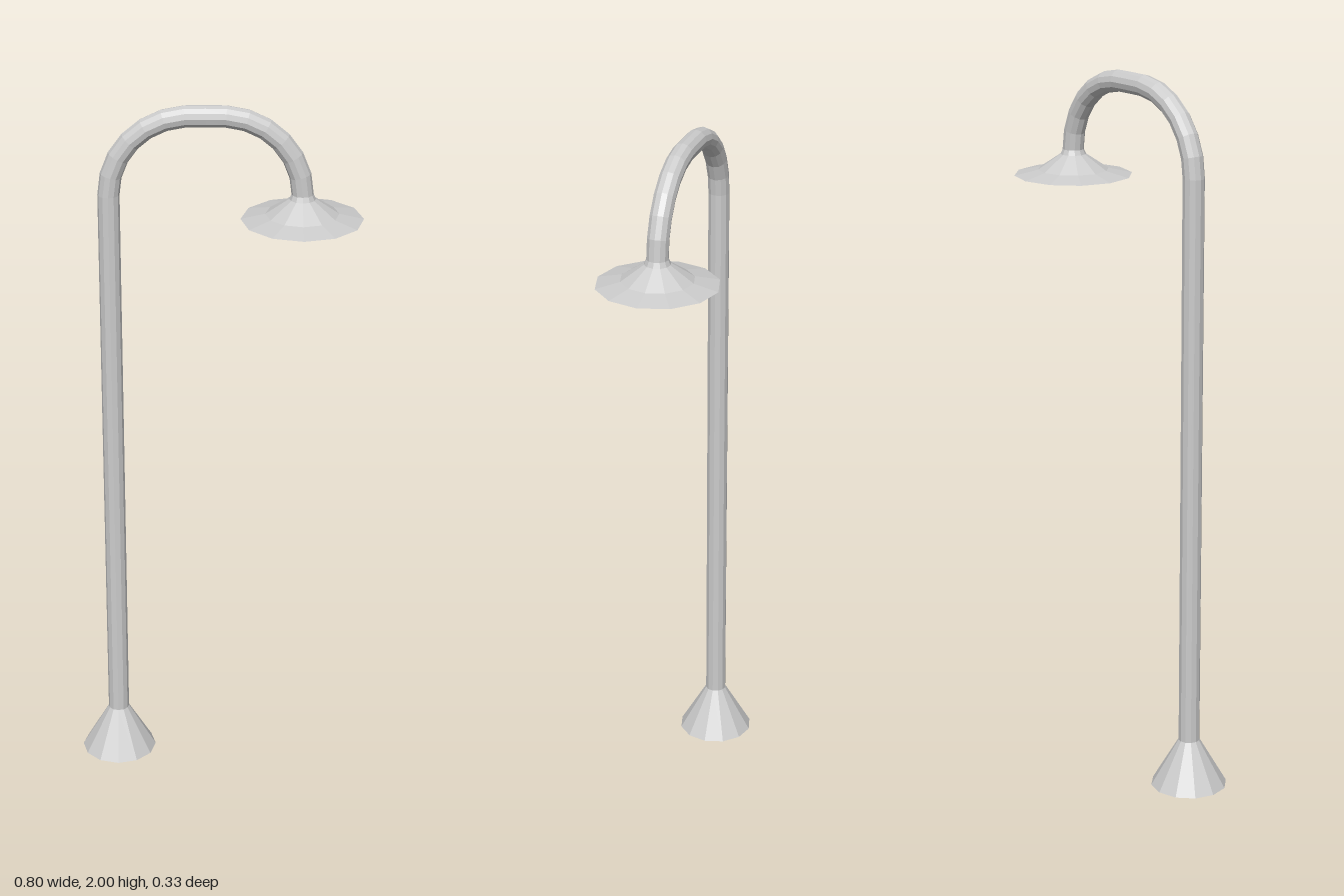
import * as THREE from 'three';

const SIDES = 12;
const PIPE = 0.03;      // pipe radius
const POLE_X = -0.29;   // pole axis
const LAMP_X = 0.232;   // shade axis
const BEND_Y = 1.75;    // where the bends start
const BEND = 0.22;      // bend radius

export function createModel() {
  const group = new THREE.Group();
  const mat = new THREE.MeshStandardMaterial({ color: 0xcccccc, flatShading: true, side: THREE.DoubleSide });

  const add = (name, geometry, x = 0, y = 0) => {
    const mesh = new THREE.Mesh(geometry, mat);
    mesh.name = name;
    mesh.position.set(x, y, 0);
    group.add(mesh);
  };
  const lathe = (points) => new THREE.LatheGeometry(points.map(([r, y]) => new THREE.Vector2(r, y)), SIDES);

  // Hollow flared foot, open underneath
  add('base', lathe([[0.108, 0], [PIPE, 0.135]]), POLE_X);

  // Straight pole
  const poleHeight = BEND_Y - 0.135;
  add('pole', new THREE.CylinderGeometry(PIPE, PIPE, poleHeight, SIDES, 1, true), POLE_X, 0.135 + poleHeight / 2);

  // Gooseneck: quarter bend, short flat run, quarter bend down to the shade
  const straight = LAMP_X - POLE_X - 2 * BEND;
  const quarter = BEND * Math.PI / 2;
  const total = 2 * quarter + straight;
  class Gooseneck extends THREE.Curve {
    getPoint(t, target = new THREE.Vector3()) {
      const s = t * total;
      const left = Math.min(s, quarter) / BEND;
      const right = Math.max(s - quarter - straight, 0) / BEND;
      const run = THREE.MathUtils.clamp(s - quarter, 0, straight);
      return target.set(
        POLE_X + BEND * (1 - Math.cos(left)) + run + BEND * Math.sin(right),
        BEND_Y + BEND * (Math.sin(left) - 1 + Math.cos(right)),
        0
      );
    }
  }
  add('arm', new THREE.TubeGeometry(new Gooseneck(), 14, PIPE, SIDES, false));

  // Thin two-step shade with a small neck around the arm's end
  add('shade', lathe([[0.167, 1.68], [0.1, 1.695], [0.036, 1.738], [PIPE, 1.752]]), LAMP_X);

  // Cap closing the pipe inside the shade
  const cap = new THREE.CircleGeometry(PIPE, SIDES);
  cap.rotateX(Math.PI / 2);
  add('armEndCap', cap, LAMP_X, BEND_Y);

  return group;
}
